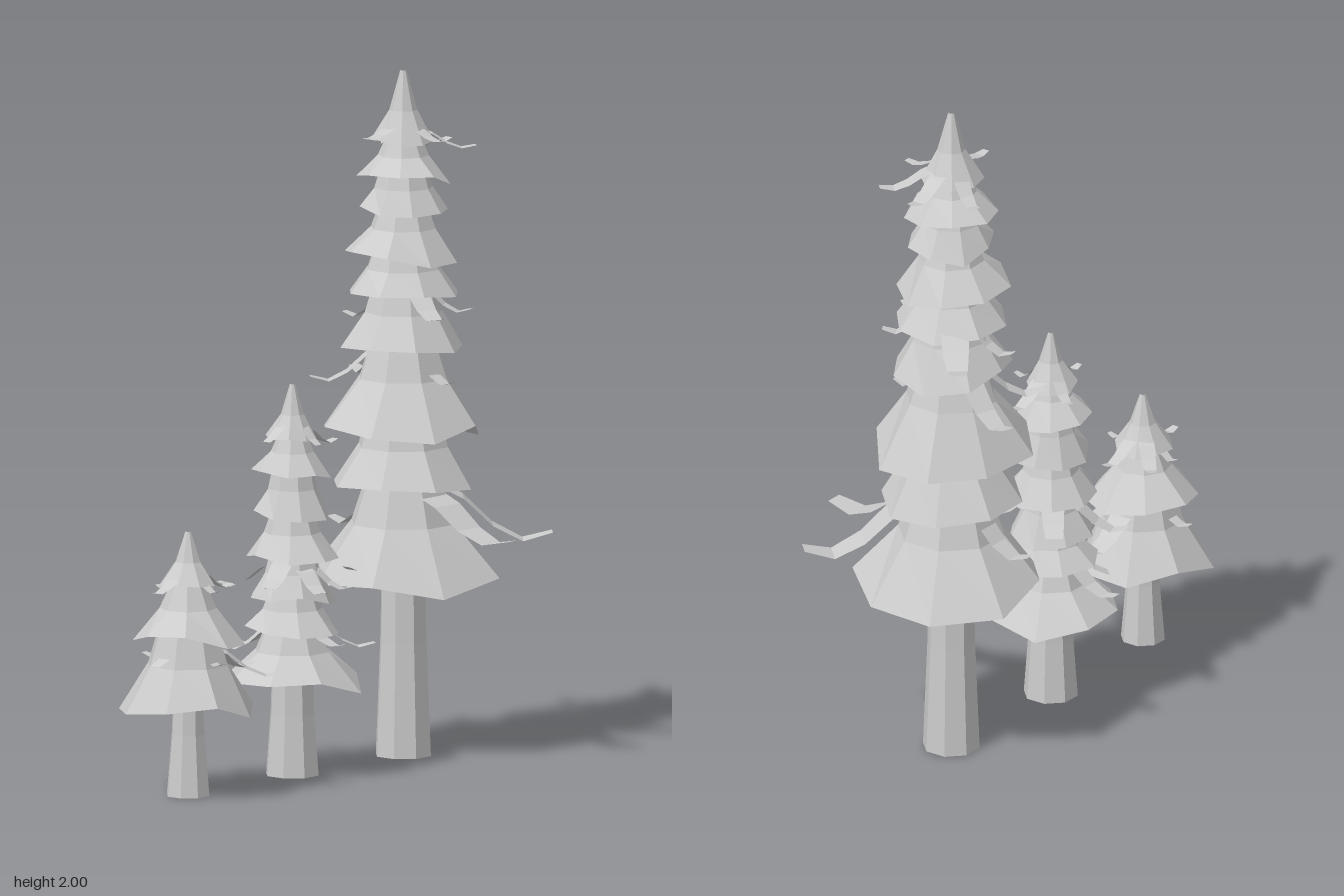
import * as THREE from 'three';

const SIDES = 8;
const solid = new THREE.MeshStandardMaterial({ color: 0xcccccc, flatShading: true });
const thin = new THREE.MeshStandardMaterial({ color: 0xcccccc, flatShading: true, side: THREE.DoubleSide });

// Repeatable noise in -1..1
const noise = (n) => {
  const s = Math.sin(n * 12.9898) * 43758.5453;
  return (s - Math.floor(s)) * 2 - 1;
};

// One faceted skirt of needles: profile is [radius, y] upwards, ragged and tilted at the rim (index 1)
function tier(name, profile, seed, tilt, twist) {
  const points = profile.map(([r, y]) => new THREE.Vector2(r, y));
  const geo = new THREE.LatheGeometry(points, SIDES, Math.PI / SIDES + twist);
  const pos = geo.attributes.position;
  const n = profile.length;
  const rim = profile[1][0];
  for (let i = 0; i < pos.count; i++) {
    if (i % n !== 1) continue;
    const k = Math.floor(i / n) % SIDES;
    const spread = 1 + 0.07 * noise(seed * 17 + k);
    const lift = rim * 0.12 * noise(seed * 31 + k + 5) - tilt * pos.getX(i);
    pos.setXYZ(i, pos.getX(i) * spread, pos.getY(i) + lift, pos.getZ(i) * spread);
  }
  const mesh = new THREE.Mesh(geo, solid);
  mesh.name = name;
  return mesh;
}

// Drooping ribbon branch from height y to tipY; angle 0 is +x, 90 is +z
function branch([angle, reach, y, tipY]) {
  const droop = [0, 0.3, 0.85, 1.15, 1];
  const geo = new THREE.PlaneGeometry(1, 1, 1, 4);
  const pos = geo.attributes.position;
  for (let i = 0; i < pos.count; i++) {
    const row = Math.floor(i / 2);
    const u = row / 4;
    const width = reach * (0.27 - 0.14 * u * u);
    pos.setXYZ(i, reach * (0.2 + 0.8 * u), y + droop[row] * (tipY - y), (i % 2 ? -0.5 : 0.5) * width);
  }
  const mesh = new THREE.Mesh(geo, thin);
  mesh.rotation.y = -THREE.MathUtils.degToRad(angle);
  mesh.name = 'branch';
  return mesh;
}

function tree({ name, x, z, height, trunk, tiers, branches, seed }) {
  const group = new THREE.Group();
  group.name = name;
  group.position.set(x, 0, z);

  // Tapered trunk, hollow and open at the foot
  const [foot, neck, trunkTop] = trunk;
  const trunkGeo = new THREE.LatheGeometry([
    new THREE.Vector2(foot, 0),
    new THREE.Vector2((foot + neck * 2) / 3, trunkTop * 0.5), new THREE.Vector2(neck, trunkTop),
  ], SIDES, Math.PI / SIDES);
  const trunkMesh = new THREE.Mesh(trunkGeo, thin);
  trunkMesh.name = 'trunk';
  group.add(trunkMesh);

  // Skirts, from the ground up; the last one is the pointed crown
  tiers.forEach(([r, y], i) => {
    const next = tiers[i + 1];
    const tilt = i ? 0.1 : 0.03;
    const twist = i ? 0.3 * noise(seed + i * 7) : 0;
    if (next) {
      const top = next[1] + next[0] * 0.28;
      const neckR = Math.min(next[0], r) * 0.5;
      group.add(tier('foliageTier', [
        [neck * 0.85, y + r * 0.38], [r, y],
        [neckR + (r - neckR) * 0.32, y + (top - y) * 0.5], [neckR, top],
      ], seed + i, tilt, twist));
    } else {
      const h = height - y;
      group.add(tier('crown', [
        [r * 0.4, y + r * 0.3], [r, y],
        [r * 0.45, y + h * 0.45], [r * 0.1, height],
      ], seed + i, tilt, twist));
    }
  });

  branches.forEach((b) => group.add(branch(b)));
  return group;
}

export function createModel() {
  const model = new THREE.Group();
  model.name = 'pineTrees';

  model.add(tree({
    name: 'smallTree', x: -0.525, z: -0.07, height: 0.77, seed: 3,
    trunk: [0.065, 0.042, 0.36],
    tiers: [[0.2, 0.26], [0.168, 0.46], [0.085, 0.61]],
    branches: [
      [2, 0.27, 0.44, 0.36], [46, 0.28, 0.44, 0.36], [95, 0.15, 0.46, 0.4],
      [180, 0.18, 0.45, 0.4], [-90, 0.17, 0.46, 0.4],
      [5, 0.17, 0.65, 0.6], [-45, 0.18, 0.65, 0.6], [95, 0.13, 0.66, 0.61],
      [180, 0.16, 0.65, 0.61], [-85, 0.13, 0.66, 0.6],
    ],
  }));

  model.add(tree({
    name: 'middleTree', x: -0.055, z: -0.085, height: 1.14, seed: 20,
    trunk: [0.08, 0.06, 0.36],
    tiers: [[0.2, 0.265], [0.14, 0.42], [0.125, 0.515], [0.14, 0.63], [0.11, 0.755], [0.115, 0.885], [0.075, 0.98]],
    branches: [
      [-90, 0.235, 0.44, 0.37], [90, 0.2, 0.45, 0.4], [40, 0.24, 0.45, 0.38], [-135, 0.21, 0.45, 0.38],
      [-39, 0.26, 0.66, 0.59], [159, 0.24, 0.64, 0.58], [110, 0.21, 0.62, 0.56],
      [70, 0.19, 0.62, 0.56], [-110, 0.23, 0.62, 0.55],
      [2, 0.18, 1.01, 0.96], [180, 0.14, 1.03, 0.99], [92, 0.13, 1.03, 0.98], [-60, 0.14, 1.02, 0.97],
    ],
  }));

  model.add(tree({
    name: 'tallTree', x: 0.41, z: -0.07, height: 2, seed: 40,
    trunk: [0.084, 0.064, 0.66],
    tiers: [
      [0.275, 0.52], [0.205, 0.785], [0.235, 0.96], [0.175, 1.2], [0.17, 1.345],
      [0.165, 1.455], [0.13, 1.59], [0.135, 1.69], [0.09, 1.79],
    ],
    branches: [
      [90, 0.42, 0.78, 0.67], [46, 0.43, 0.8, 0.65], [180, 0.25, 0.73, 0.58], [-90, 0.28, 0.78, 0.67],
      [90, 0.2, 1.19, 1.11], [-135, 0.27, 1.2, 1.11], [-72, 0.28, 1.2, 1.1],
      [-40, 0.32, 1.4, 1.31], [113, 0.26, 1.38, 1.31], [-100, 0.2, 1.36, 1.28], [60, 0.2, 1.38, 1.31],
      [0, 0.2, 1.83, 1.78], [45, 0.21, 1.83, 1.78], [90, 0.16, 1.84, 1.81],
      [180, 0.17, 1.84, 1.82], [-60, 0.18, 1.83, 1.77],
    ],
  }));

  return model;
}
